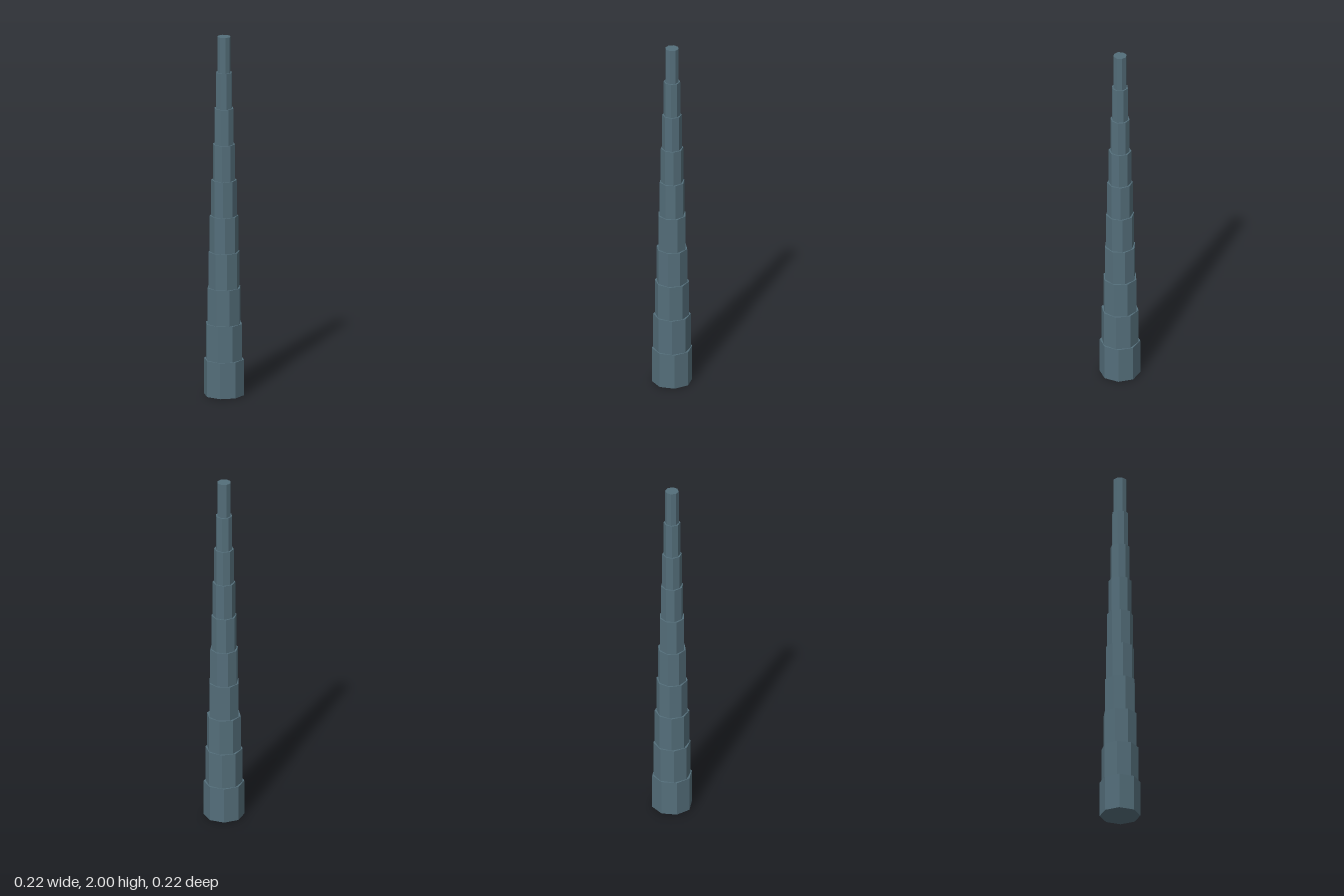
import * as THREE from 'three';

const SEGMENTS = 10;
const HEIGHT = 2 / SEGMENTS;
const BASE_RADIUS = 0.11;
const TIP_RADIUS = 0.037;
const TWIST = THREE.MathUtils.degToRad(-7.5);

export function createModel() {
  const model = new THREE.Group();
  model.name = 'taperedColumn';
  const material = new THREE.MeshStandardMaterial({ color: 0x546e7a, flatShading: true });

  // Stacked octagonal prisms, each narrower and turned a little further
  for (let i = 0; i < SEGMENTS; i++) {
    const radius = THREE.MathUtils.lerp(BASE_RADIUS, TIP_RADIUS, i / (SEGMENTS - 1));
    const segment = new THREE.Mesh(new THREE.CylinderGeometry(radius, radius, HEIGHT, 8), material);
    segment.name = `columnSegment${i + 1}`;
    segment.position.y = (i + 0.5) * HEIGHT;
    segment.rotation.y = i * TWIST;
    model.add(segment);
  }
  return model;
}
